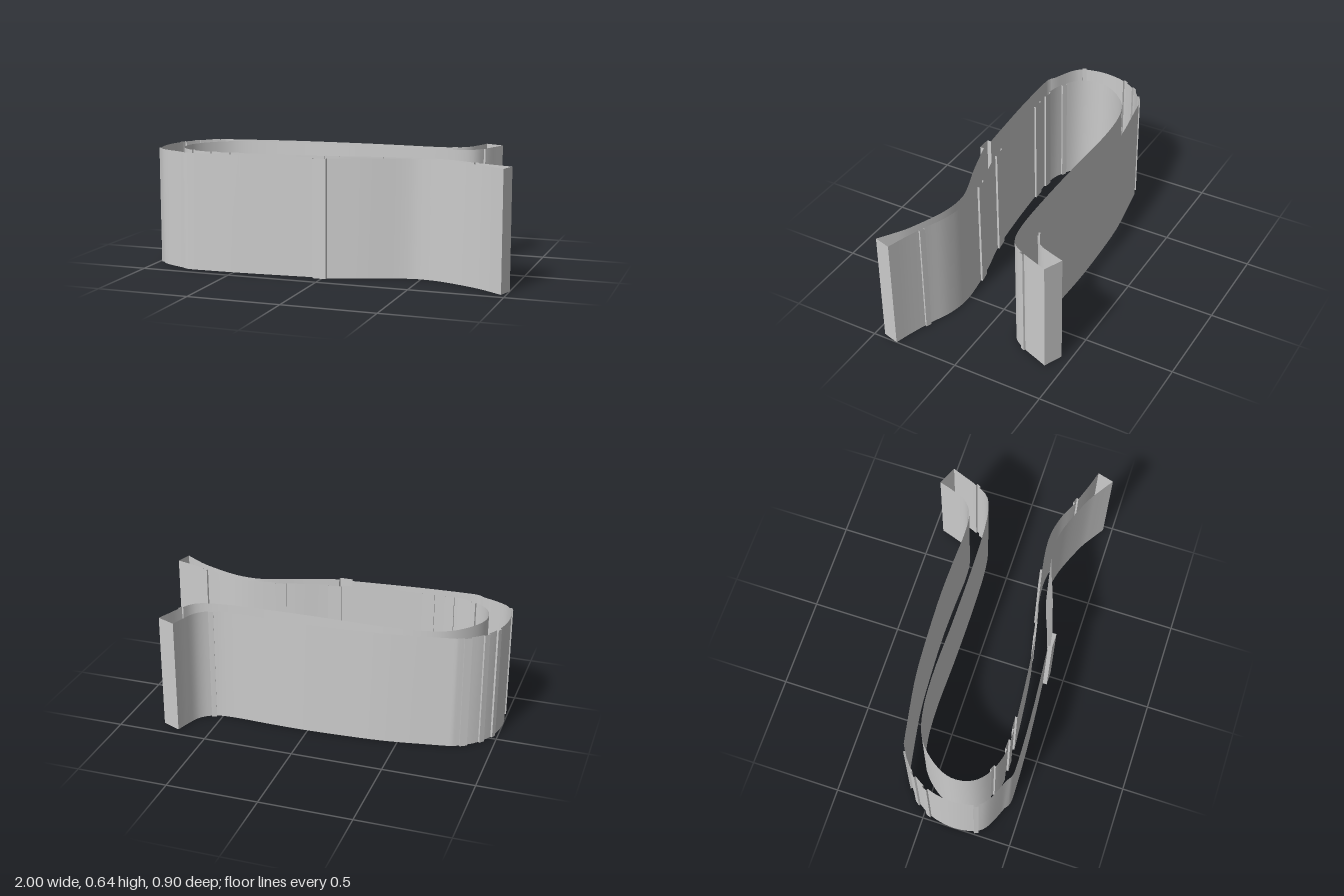
import * as THREE from 'three';
import { toCreasedNormals } from 'three/addons/utils/BufferGeometryUtils.js';

const HEIGHT = 0.64;
const RIB = 0.011;
const material = new THREE.MeshStandardMaterial({ color: 0xcccccc, side: THREE.DoubleSide });

// Smooth plan curve through [x, z] points, with a thin raised rib on each listed segment
function smooth(points, steps, ribs = []) {
  const curve = new THREE.SplineCurve(points.map(([x, z]) => new THREE.Vector2(x, z)));
  const plan = curve.getPoints(steps).map((p) => [p.x, p.y]);
  return plan.flatMap((p, i) => {
    if (!ribs.includes(i)) return [p];
    const q = plan[i + 1];
    const scale = RIB / Math.hypot(q[0] - p[0], q[1] - p[1]);
    const nx = (q[1] - p[1]) * scale;
    const nz = (p[0] - q[0]) * scale;
    return [p, [p[0] + nx, p[1] + nz], [q[0] + nx, q[1] + nz]];
  });
}

// Upright open wall standing on a plan path
function wall(name, path) {
  const positions = [];
  const index = [];
  path.forEach(([x, z], i) => {
    positions.push(x, 0, z, x, HEIGHT, z);
    if (i < path.length - 1) {
      const b = i * 2;
      index.push(b, b + 1, b + 2, b + 2, b + 1, b + 3);
    }
  });
  const geometry = new THREE.BufferGeometry();
  geometry.setAttribute('position', new THREE.Float32BufferAttribute(positions, 3));
  geometry.setIndex(index);
  const mesh = new THREE.Mesh(toCreasedNormals(geometry, 0.45), material);
  mesh.name = name;
  return mesh;
}

export function createModel() {
  const group = new THREE.Group();
  group.name = 'springClip';

  // Flared half of the front arm
  const frontFlare = smooth([
    [0.975, 0.45], [0.9, 0.4], [0.81, 0.348], [0.63, 0.277], [0.5, 0.257],
    [0.4, 0.273], [0.22, 0.337], [0.025, 0.395],
  ], 28);
  // Straight half of the front arm, behind a wider rib
  const middleRib = [[0.025, 0.418], [-0.05, 0.418]];
  const frontArm = smooth([
    [-0.05, 0.395], [-0.2, 0.408], [-0.46, 0.427], [-0.73, 0.436], [-0.79, 0.425],
  ], 14);
  // Closed round end
  const bend = smooth([
    [-0.81, 0.41], [-0.92, 0.362], [-0.973, 0.313], [-0.995, 0.24], [-1, 0.16],
    [-0.985, 0.07], [-0.95, -0.01], [-0.89, -0.085], [-0.8, -0.145],
  ], 24, [6, 16, 19, 22]);
  // Back arm with its shorter, tighter flare
  const backArm = smooth([
    [-0.79, -0.15], [-0.69, -0.168], [-0.45, -0.208], [-0.25, -0.224], [0.03, -0.235],
    [0.25, -0.232], [0.42, -0.226], [0.54, -0.238], [0.615, -0.29], [0.65, -0.37], [0.675, -0.45],
  ], 36, [25]);

  // Inner face, from the back tip round to the front tip
  const inner = smooth([
    [0.777, -0.405], [0.752, -0.34], [0.718, -0.255], [0.66, -0.17], [0.52, -0.135],
    [0.25, -0.124], [-0.07, -0.124], [-0.38, -0.13], [-0.59, -0.115], [-0.735, -0.07],
    [-0.838, 0.03], [-0.885, 0.14], [-0.863, 0.25], [-0.78, 0.325], [-0.64, 0.364],
    [-0.37, 0.352], [0.02, 0.309], [0.26, 0.253], [0.51, 0.217], [0.66, 0.237],
    [0.78, 0.287], [0.9, 0.33], [1, 0.36],
  ], 90, [8, 53, 57, 59, 65, 70, 82]);

  group.add(
    wall('outerWall', [...frontFlare, ...middleRib, ...frontArm, ...bend, ...backArm]),
    wall('backTip', [[0.675, -0.45], [0.777, -0.405]]),
    wall('innerWall', inner),
    wall('frontTip', [[1, 0.36], [0.975, 0.45]]),
  );
  return group;
}
